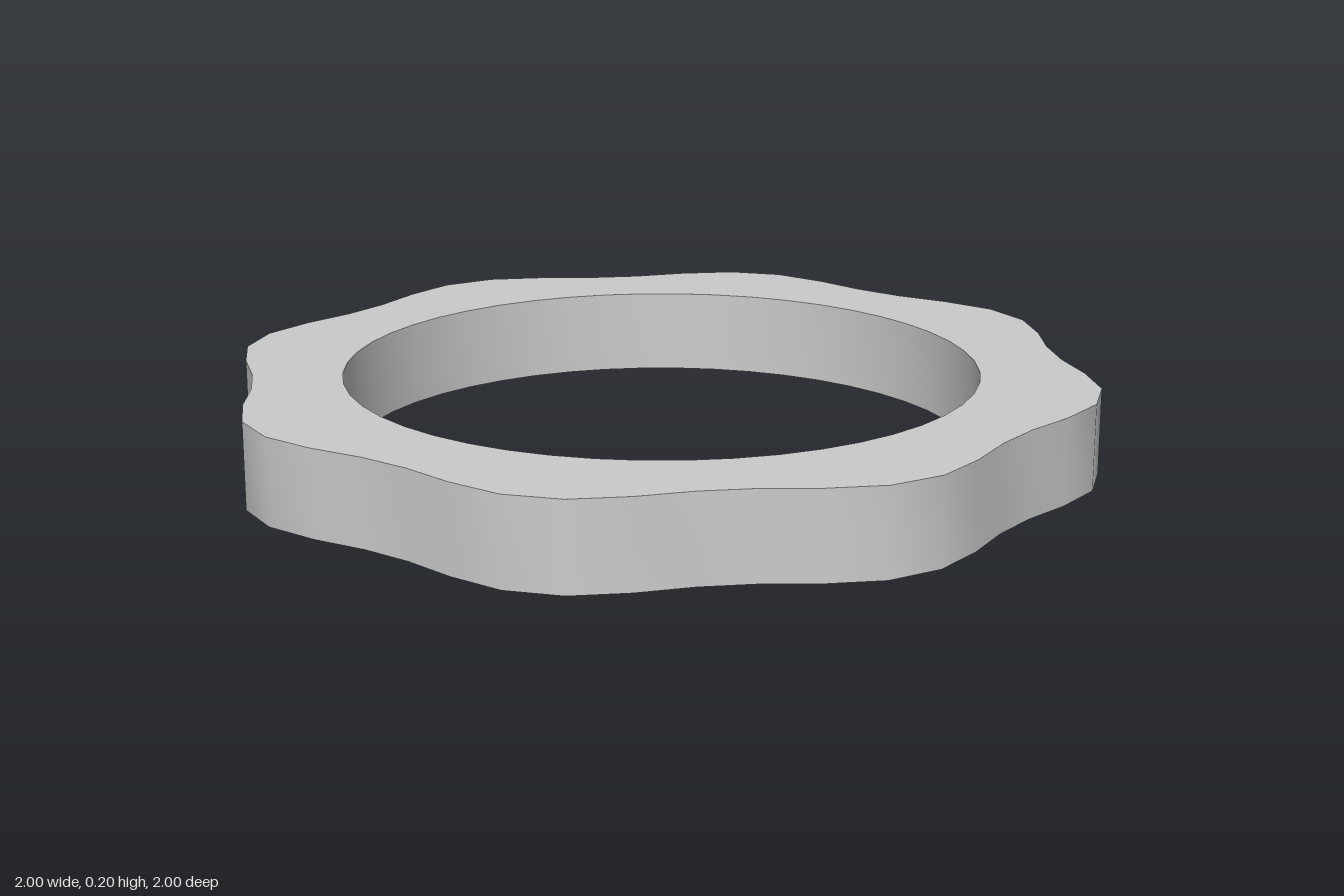
import * as THREE from 'three';
import { toCreasedNormals } from 'three/addons/utils/BufferGeometryUtils.js';

const SEGMENTS = 48;
const HEIGHT = 0.2;

// Closed loop of points whose radius depends on the angle
function loop(radiusAt) {
  return Array.from({ length: SEGMENTS }, (_, i) => {
    const a = (i / SEGMENTS) * Math.PI * 2;
    const r = radiusAt(a);
    return new THREE.Vector2(r * Math.cos(a), r * Math.sin(a));
  });
}

export function createModel() {
  const group = new THREE.Group();
  group.name = 'wavyRing';

  // Outer rim with eight soft lobes, round hole inside
  const shape = new THREE.Shape(loop((a) => 0.975 + 0.0388 * Math.sin(8 * a)));
  shape.holes.push(new THREE.Path(loop(() => 0.735)));

  // Lay the ring flat on the ground; smooth walls, sharp rims
  const extruded = new THREE.ExtrudeGeometry(shape, { depth: HEIGHT, bevelEnabled: false });
  extruded.rotateX(Math.PI / 2);
  extruded.translate(0, HEIGHT, 0);
  const geometry = toCreasedNormals(extruded, THREE.MathUtils.degToRad(40));

  const ring = new THREE.Mesh(geometry, new THREE.MeshStandardMaterial({ color: 0xcccccc }));
  ring.name = 'lobedRing';
  group.add(ring);
  return group;
}
